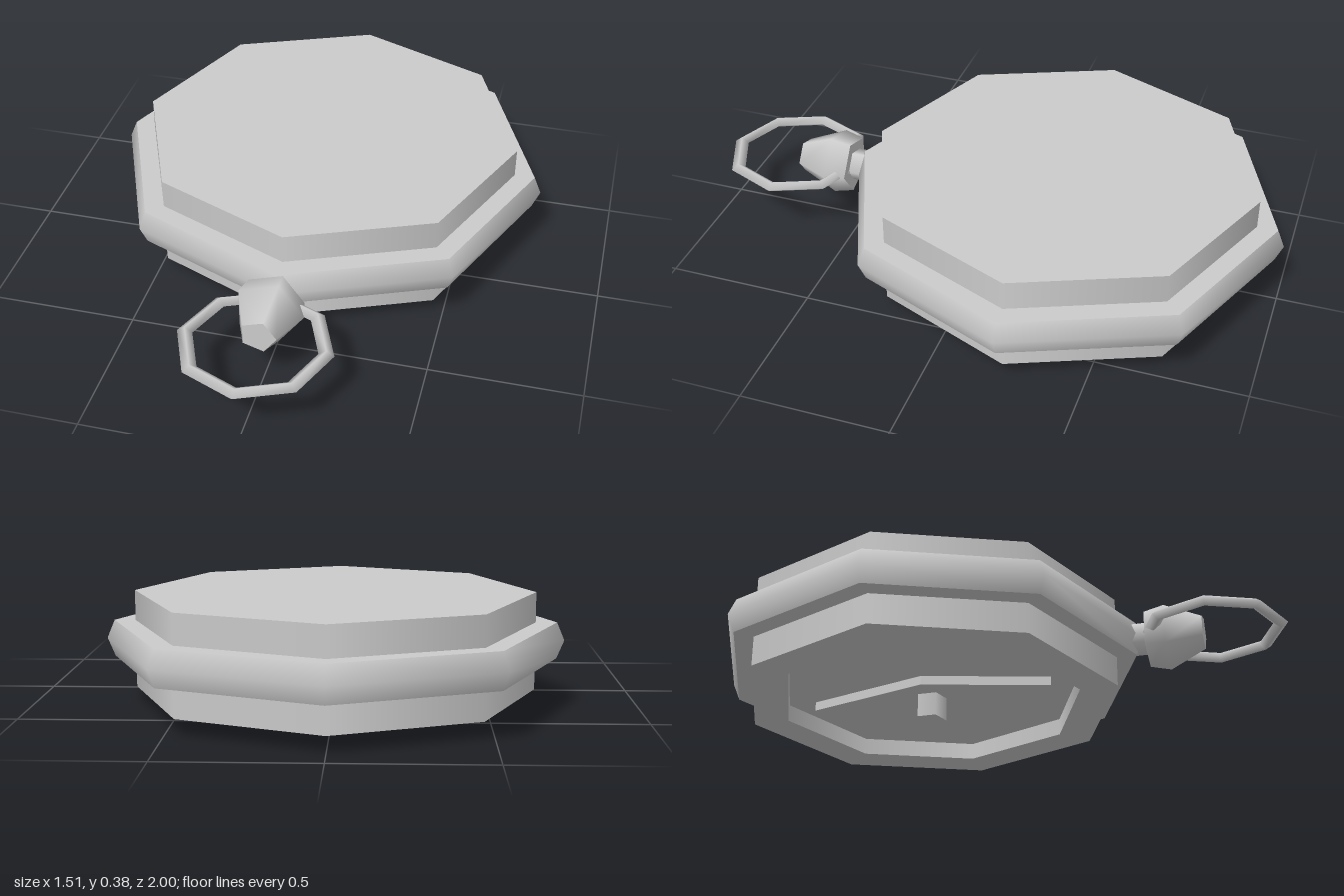
import * as THREE from 'three';
import { mergeGeometries } from 'three/addons/utils/BufferGeometryUtils.js';

const MID_Y = 0.22;      // height of the band, crown and ring
const CASE_Z = -0.245;   // centre of the case

const material = new THREE.MeshStandardMaterial({ color: 0xcccccc });

function addMesh(parent, name, geometry) {
  const mesh = new THREE.Mesh(geometry, material);
  mesh.name = name;
  parent.add(mesh);
  return mesh;
}

// Turned solid: each run of [radius, height] points is smooth, edges between runs stay sharp.
function turned(runs, sides, start = 0) {
  return mergeGeometries(runs.map((run) =>
    new THREE.LatheGeometry(run.map(([r, y]) => new THREE.Vector2(r, y)), sides, start)));
}

// Splits a profile into one sharp run per segment.
const sharp = (points) => points.slice(1).map((p, i) => [points[i], p]);

export function createModel() {
  const model = new THREE.Group();
  model.name = 'pocketCompass';

  const body = new THREE.Group();
  body.name = 'body';
  body.position.z = CASE_Z;
  model.add(body);

  // Octagonal case with a shallow dial recess underneath
  addMesh(body, 'case', turned(sharp([
    [0, 0.115], [0.53, 0.115], [0.53, 0.055], [0.66, 0.055], [0.66, 0.38], [0, 0.38],
  ]), 8));

  // Band around the middle, with a pointed outer edge
  addMesh(body, 'band', turned([
    [[0.65, 0.16], [0.73, 0.16]],
    [[0.73, 0.16], [0.755, MID_Y], [0.73, 0.28]],
    [[0.73, 0.28], [0.65, 0.28]],
  ], 8));

  // Diamond needle lying on the dial
  const diamond = new THREE.Shape([
    new THREE.Vector2(0.12, 0), new THREE.Vector2(0, 0.43),
    new THREE.Vector2(-0.12, 0), new THREE.Vector2(0, -0.43),
  ]);
  const needle = addMesh(body, 'needle',
    new THREE.ExtrudeGeometry(diamond, { depth: 0.035, bevelEnabled: false }));
  needle.rotation.x = -Math.PI / 2;
  needle.position.y = 0.083;

  // Five-sided pivot pin through the needle
  const pin = addMesh(body, 'pivotPin',
    new THREE.CylinderGeometry(0.055, 0.055, 0.12, 5, 1, false, Math.PI / 2));
  pin.position.y = 0.06;

  // Neck and crown, turned around the z axis
  const stem = new THREE.Group();
  stem.name = 'stem';
  stem.position.y = MID_Y;
  stem.rotation.x = Math.PI / 2;
  model.add(stem);
  const neck = addMesh(stem, 'neck',
    new THREE.CylinderGeometry(0.058, 0.058, 0.12, 5, 1, false, Math.PI / 2));
  neck.position.y = 0.48;
  addMesh(stem, 'crown', turned([
    [[0, 0.525], [0.1, 0.525]],
    [[0.1, 0.525], [0.117, 0.595], [0.06, 0.715]],
    [[0.06, 0.715], [0, 0.715]],
  ], 5, Math.PI / 2));

  // Flat octagonal hanging ring
  const ring = addMesh(model, 'hangingRing', new THREE.TorusGeometry(0.225, 0.025, 4, 8));
  ring.rotation.x = Math.PI / 2;
  ring.scale.z = 0.75;
  ring.position.set(0, MID_Y, 0.745);

  return model;
}
